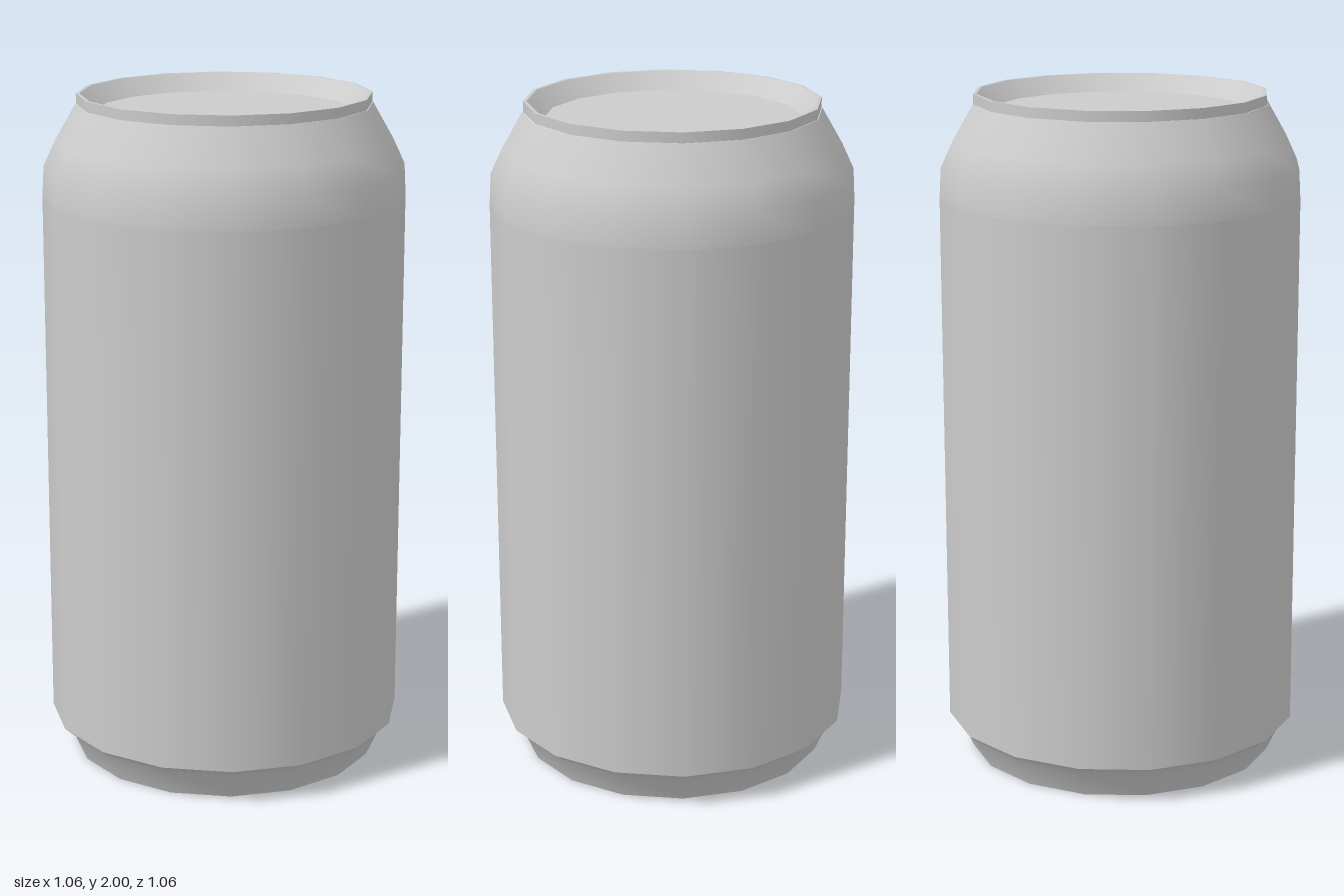
import * as THREE from 'three';

const SIDES = 16;
const material = new THREE.MeshStandardMaterial({ color: 0xcccccc });

// Each part is a lathe: smooth inside itself, sharp where it meets the next.
// Profiles run from the bottom centre, up the outside, to the lid centre.
function ring(name, profile) {
  const points = profile.map(([r, y]) => new THREE.Vector2(r, y));
  const mesh = new THREE.Mesh(new THREE.LatheGeometry(points, SIDES), material);
  mesh.name = name;
  return mesh;
}

export function createModel() {
  const can = new THREE.Group();
  can.name = 'drinkCan';

  can.add(
    // Hollow underside
    ring('bottomDome', [[0, 0.1], [0.2, 0.08], [0.35, 0.04]]),
    ring('bottomGroove', [[0.35, 0.04], [0.415, 0.035]]),
    ring('footInside', [[0.415, 0.035], [0.46, 0]]),
    // Tapered foot
    ring('foot', [[0.46, 0], [0.495, 0.08], [0.53, 0.11]]),
    // Straight wall running into the rounded shoulder
    ring('body', [[0.53, 0.11], [0.53, 1.7]]),
    ring('shoulder', [[0.53, 1.7], [0.525, 1.79], [0.49, 1.865], [0.43, 1.97]]),
    // Rim and sunken lid
    ring('rimOutside', [[0.428, 1.97], [0.428, 2]]),
    ring('rimTop', [[0.428, 2], [0.418, 2]]),
    ring('rimInside', [[0.418, 2], [0.37, 1.95]]),
    ring('lid', [[0.37, 1.95], [0, 1.95]]),
  );
  return can;
}
